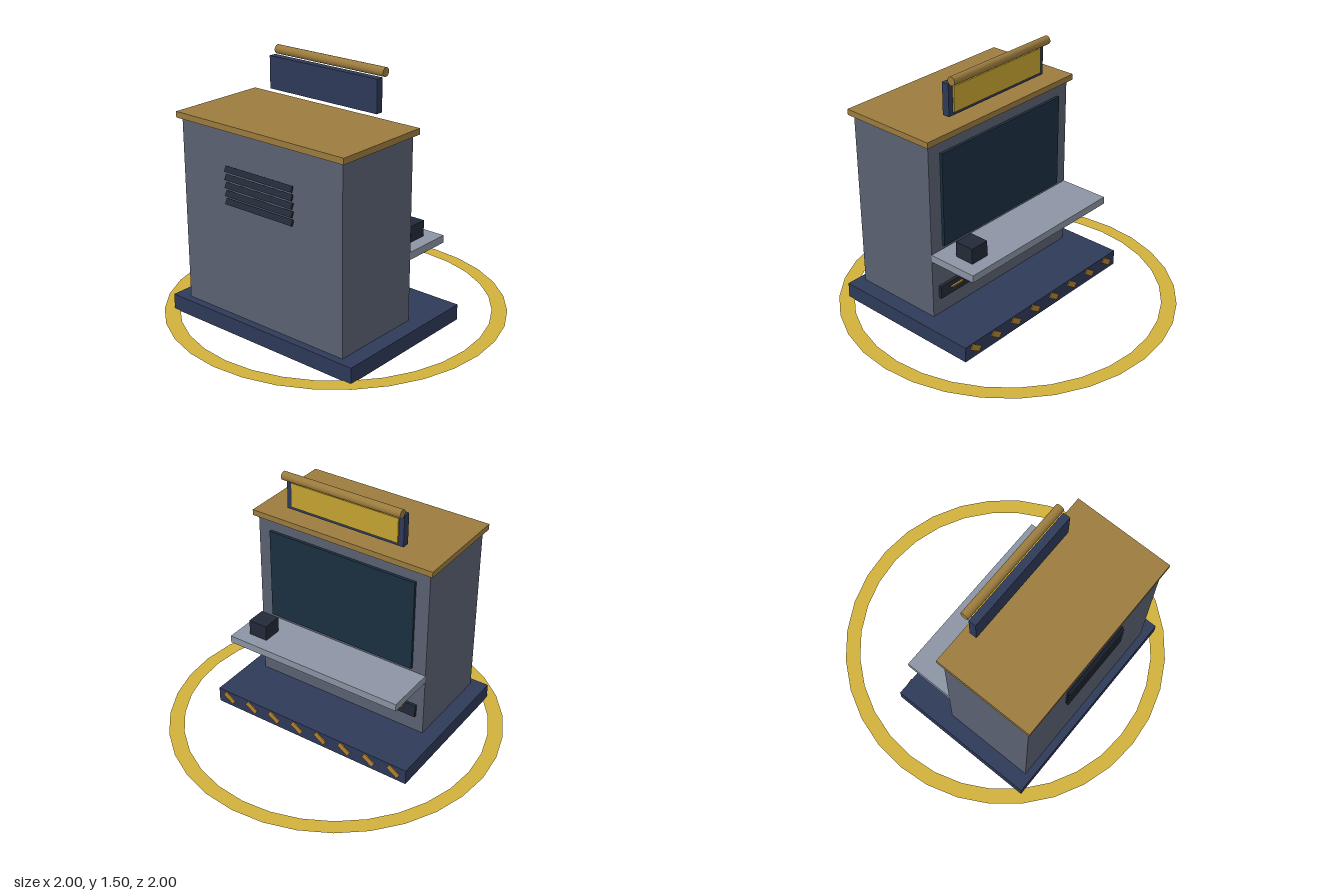
import * as THREE from 'three';

const mat = (color, extra = {}) => new THREE.MeshStandardMaterial({ color, ...extra });

export function createModel() {
  const model = new THREE.Group();
  const grey = mat(0x5b6272), navy = mat(0x2e3a59), bronze = mat(0x9c7c3e);
  const dark = mat(0x232a38), pale = mat(0x8c95a5), glass = mat(0x1b2f40);
  const yellow = mat(0xc9a632), orange = mat(0xb5832f);

  const add = (name, geometry, material, x, y, z, parent = model) => {
    const mesh = new THREE.Mesh(geometry, material);
    mesh.name = name;
    mesh.position.set(x, y, z);
    parent.add(mesh);
    return mesh;
  };
  // box given by its limits on each axis
  const box = (name, material, [x0, x1], [y0, y1], [z0, z1], parent) =>
    add(name, new THREE.BoxGeometry(x1 - x0, y1 - y0, z1 - z0), material,
      (x0 + x1) / 2, (y0 + y1) / 2, (z0 + z1) / 2, parent);
  const group = (name) => {
    const g = new THREE.Group();
    g.name = name;
    model.add(g);
    return g;
  };

  // flat ring on the ground
  const ring = add('groundRing', new THREE.RingGeometry(0.91, 1, 32),
    mat(0xd0b03c, { side: THREE.DoubleSide }), 0, 0.005, 0);
  ring.rotation.x = -Math.PI / 2;

  // kiosk body
  box('base', navy, [-0.665, 0.665], [0, 0.095], [-0.285, 0.665]);
  box('body', grey, [-0.57, 0.57], [0.095, 1.175], [0.05, 0.62]);
  box('roof', bronze, [-0.595, 0.595], [1.175, 1.21], [0.025, 0.643]);

  // service side: screen, counter and small device
  box('screen', glass, [-0.485, 0.485], [0.53, 1.1], [0.033, 0.055]);
  box('counter', pale, [-0.57, 0.57], [0.46, 0.505], [-0.26, 0.05]);
  box('counterDevice', dark, [0.37, 0.49], [0.505, 0.6], [-0.18, -0.06]);

  // row of drawers with handles
  const drawers = group('drawers');
  for (let i = 0; i < 4; i++) {
    const x = (i - 1.5) * 0.265;
    box('drawer', dark, [x - 0.125, x + 0.125], [0.2, 0.28], [0.033, 0.055], drawers);
    box('drawerHandle', orange, [x - 0.045, x + 0.045], [0.24, 0.25], [0.022, 0.034], drawers);
  }

  // slanted warning stripes along the base edge
  const stripes = group('warningStripes');
  for (let i = 0; i < 8; i++) {
    const stripe = add('stripe', new THREE.BoxGeometry(0.08, 0.035, 0.01), orange,
      (i - 3.5) * 0.167, 0.056, -0.286, stripes);
    stripe.rotation.z = 0.6;
  }

  // tilted vent slats on the front
  const vents = group('ventSlats');
  for (let i = 0; i < 5; i++) {
    const slat = add('slat', new THREE.BoxGeometry(0.48, 0.035, 0.012), dark,
      0, 0.957 - i * 0.0465, 0.628, vents);
    slat.rotation.x = -0.45;
  }

  // sign above the roof with its lamp tube
  const sign = group('sign');
  box('signBoard', navy, [-0.382, 0.382], [1.265, 1.455], [0.075, 0.12], sign);
  box('signPanel', yellow, [-0.35, 0.35], [1.285, 1.435], [0.065, 0.08], sign);
  const lamp = add('lampTube', new THREE.CylinderGeometry(0.026, 0.026, 0.77, 16),
    bronze, 0, 1.479, 0.05, sign);
  lamp.rotation.z = Math.PI / 2;

  return model;
}
